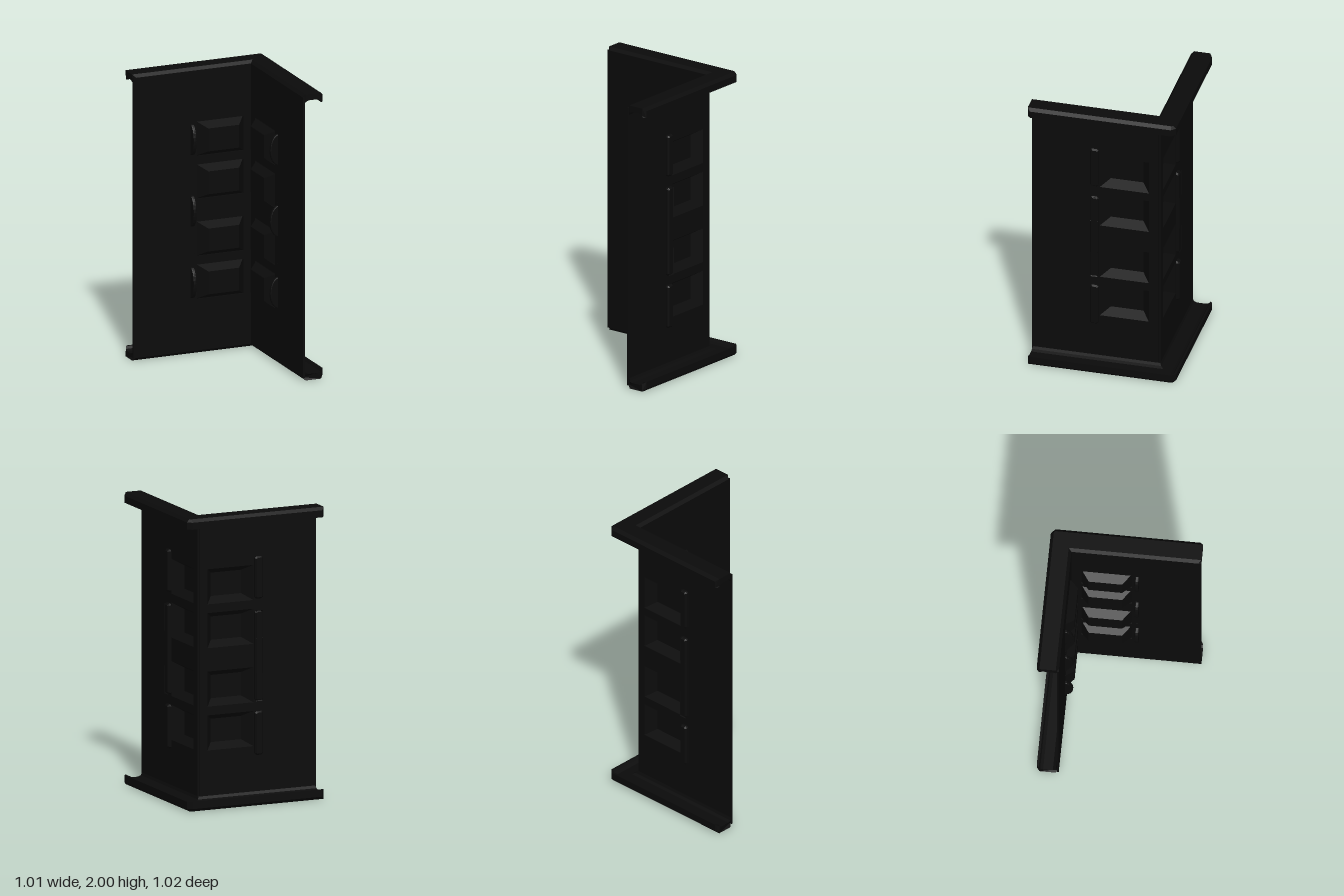
import * as THREE from 'three';

const black = new THREE.MeshStandardMaterial({ color: 0x0b0b0b, side: THREE.DoubleSide });
black.name = 'black';

// inner corner of the angle, sheet thickness, flange width, length of each wing
const CX = 0.355, CZ = -0.365, T = 0.012, W = 0.15;
const LEN_X = 0.86, LEN_Z = 0.875;
const POCKET_ROWS = [0.5, 0.8, 1.2, 1.5];
const SLOT_ROWS = [0.785, 1.215];

function part(geometry, name) {
  const mesh = new THREE.Mesh(geometry, black);
  mesh.name = name;
  return mesh;
}

function rect(Type, x0, x1, y0, y1, c = 0) {
  return new Type([
    [x0 + c, y0], [x1 - c, y0], [x1, y0 + c], [x1, y1 - c],
    [x1 - c, y1], [x0 + c, y1], [x0, y1 - c], [x0, y0 + c],
  ].filter((p, i) => c > 0 || i % 2 === 0).map(p => new THREE.Vector2(...p)));
}

// flat-shaded geometry from a list of triangles
function fromTriangles(tris) {
  const g = new THREE.BufferGeometry();
  g.setAttribute('position', new THREE.Float32BufferAttribute(tris.flat(2), 3));
  g.computeVertexNormals();
  return g;
}
const quad = (a, b, c, d) => [[a, b, c], [a, c, d]];

// lipped flange: one section carried round the angle with a clipped outer corner
function flange(top) {
  const section = [
    [0, 1.98], [0.02, 2], [0.13, 2], [W, 1.98], [W, 1.932], [0.135, 1.932],
    [0.125, 1.948], [0.105, 1.957], [0.04, 1.957], [0.02, 1.948], [T, 1.93], [0, 1.93],
  ].map(([n, y]) => [n, top ? y : 2 - y]);
  const endCut = n => Math.max(0, 0.02 - n, n - 0.13);
  const clip = n => Math.max(0, n - 0.12);
  const stations = [
    n => [CX - LEN_X + endCut(n), CZ - n],
    n => [CX + n - clip(n), CZ - n],
    n => [CX + n, CZ - n + clip(n)],
    n => [CX + n, CZ + LEN_Z - endCut(n)],
  ];
  const rings = stations.map(at => section.map(([n, y]) => {
    const [x, z] = at(n);
    return [x, y, z];
  }));
  const tris = [];
  const m = section.length;
  for (let i = 0; i < 3; i++) {
    for (let j = 0; j < m; j++) {
      const k = (j + 1) % m;
      const corners = [rings[i][j], rings[i + 1][j], rings[i + 1][k], rings[i][k]];
      tris.push(...quad(...(top ? corners : corners.reverse())));
    }
  }
  // end caps
  const caps = THREE.ShapeUtils.triangulateShape(section.map(p => new THREE.Vector2(...p)), []);
  for (const [a, b, c] of caps) {
    tris.push([rings[0][a], rings[0][b], rings[0][c]], [rings[3][c], rings[3][b], rings[3][a]]);
  }
  return part(fromTriangles(tris), top ? 'topFlange' : 'bottomFlange');
}

// pressed pocket: tapered walls and floor, open to the outside
function pocket(s0, s1, y) {
  const ring = (a, b, h, n) => [[a, y - h, n], [b, y - h, n], [b, y + h, n], [a, y + h, n]];
  const rim = ring(s0, s1, 0.12, T);
  const floor = ring(s0 + 0.055, s1 - 0.06, 0.08, -0.055);
  const tris = quad(...floor);
  for (let i = 0; i < 4; i++) {
    const k = (i + 1) % 4;
    tris.push(...quad(rim[i], rim[k], floor[k], floor[i]));
  }
  return part(fromTriangles(tris), 'pocket');
}

// one wing, local x runs away from the corner and local z points outwards
function wing(length, shift, name) {
  const g = new THREE.Group();
  g.name = name;
  const s0 = 0.055 + shift, s1 = 0.395 + shift, sc = 0.43 + shift;
  const slotHole = y => rect(THREE.Path, sc - 0.016, sc + 0.016, y - 0.085, y + 0.085);

  // sheet with openings
  const sheet = rect(THREE.Shape, 0, length, 0.02, 1.98);
  for (const y of POCKET_ROWS) sheet.holes.push(rect(THREE.Path, s0, s1, y - 0.12, y + 0.12));
  for (const y of SLOT_ROWS) sheet.holes.push(slotHole(y));
  g.add(part(new THREE.ExtrudeGeometry(sheet, { depth: T, bevelEnabled: false }), 'sheet'));

  for (const y of POCKET_ROWS) g.add(pocket(s0, s1, y));

  // raised ribs on the outside, the middle one slotted
  for (const [y0, y1] of [[0.32, 0.62], [0.69, 1.31], [1.39, 1.68]]) {
    const shape = rect(THREE.Shape, sc - 0.03, sc + 0.03, y0, y1, 0.012);
    for (const y of SLOT_ROWS) if (y > y0 && y < y1) shape.holes.push(slotHole(y));
    const rib = new THREE.ExtrudeGeometry(shape, {
      depth: 0.013, bevelSize: 0.01, bevelOffset: -0.01, bevelThickness: 0.011, bevelSegments: 1,
    });
    rib.translate(0, 0, 0.012);
    g.add(part(rib, 'outerRib'));
  }

  // rounded tabs on the inside
  for (const y of [0.5, 1, 1.5]) {
    const shape = new THREE.Shape();
    shape.moveTo(0.005, -0.11);
    shape.lineTo(0.005, 0.11);
    shape.bezierCurveTo(-0.075, 0.1, -0.075, -0.1, 0.005, -0.11);
    const tab = new THREE.ExtrudeGeometry(shape, {
      depth: 0.013, bevelSize: 0.006, bevelOffset: -0.006, bevelThickness: 0.006,
      bevelSegments: 2, curveSegments: 12,
    });
    tab.translate(0, 0, -0.0065);
    tab.rotateY(-Math.PI / 2);
    tab.translate(sc, y, 0);
    g.add(part(tab, 'innerTab'));
  }
  g.position.set(CX, 0, CZ);
  return g;
}

export function createModel() {
  const model = new THREE.Group();
  model.name = 'cornerBracket';

  const back = wing(LEN_X, 0, 'backWing');
  back.rotation.y = Math.PI;
  const side = wing(LEN_Z, 0.012, 'sideWing');
  side.rotation.y = -Math.PI / 2;
  side.scale.z = -1;

  model.add(back, side, flange(true), flange(false));
  return model;
}
